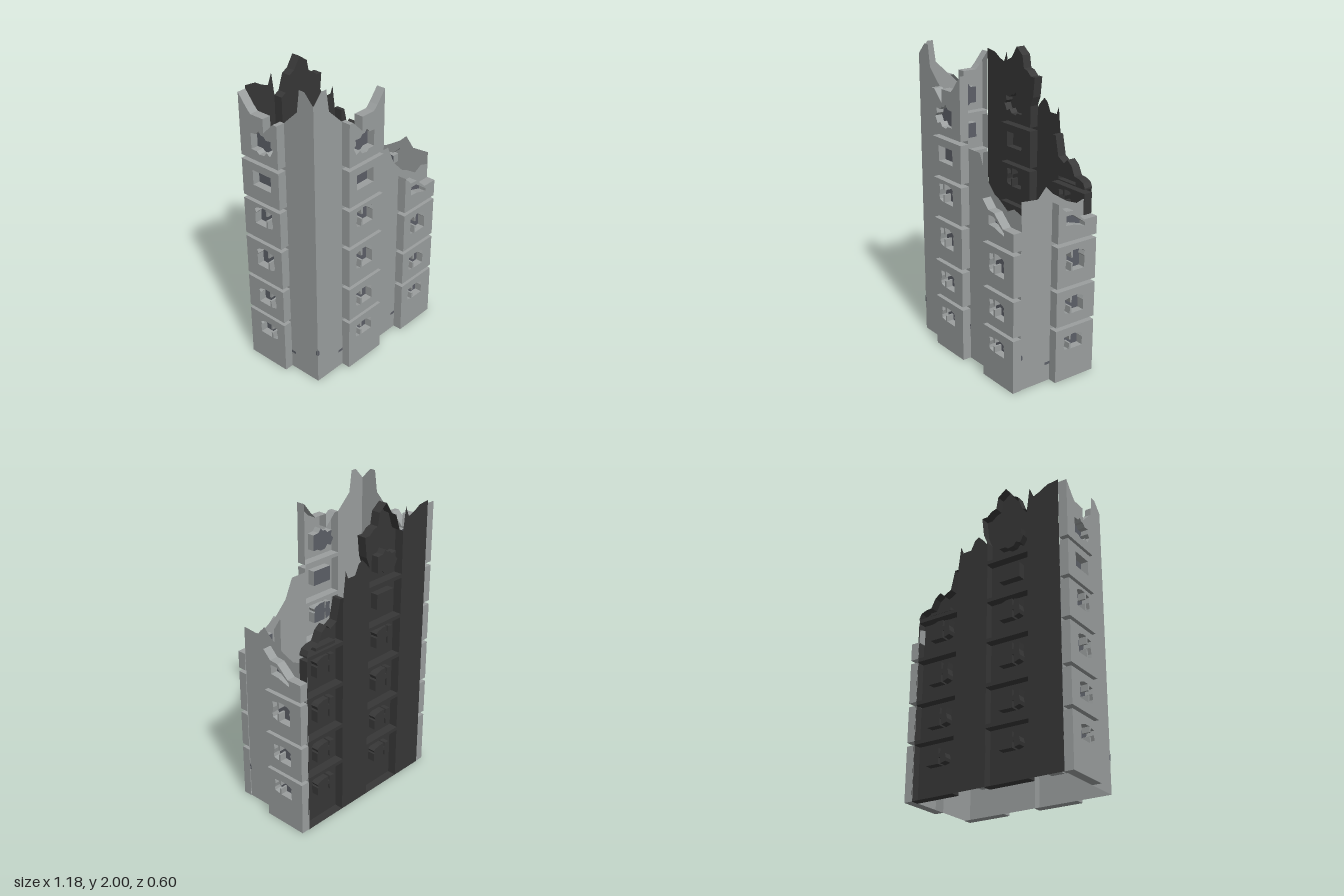
import * as THREE from 'three';
import { mergeGeometries } from 'three/addons/utils/BufferGeometryUtils.js';

const mat = (name, color) => {
  const m = new THREE.MeshStandardMaterial({ color, side: THREE.DoubleSide });
  m.name = name;
  return m;
};

const W = 0.53;        // width of one wall section
const PANEL_U = 0.23;  // where the projecting panel column starts
const PANEL_END = 0.535;
const DEPTH = 0.06;    // how far panels project
const RECESS = 0.05;   // how deep windows sit in a panel

// Bottom and top of each storey panel
const FLOORS = [[0, 0.355], [0.38, 0.615], [0.64, 0.91], [0.935, 1.185], [1.21, 1.455], [1.48, 1.88]];

// Pair of broken openings joined by a narrow slit, as one outline
const twin = (y0, y1) => {
  const h = y1 - y0, y = t => y0 + h * t;
  return [
    [0.297, y(0.1)], [0.335, y(0)], [0.338, y(0.4)], [0.35, y(0.4)], [0.35, y(0)], [0.443, y(0)],
    [0.443, y(0.55)], [0.435, y(0.62)], [0.445, y(0.8)], [0.43, y(0.9)], [0.39, y(1)], [0.35, y(1)],
    [0.35, y(0.65)], [0.338, y(0.65)], [0.333, y(0.95)], [0.295, y(0.9)], [0.301, y(0.6)], [0.293, y(0.3)],
  ];
};
const box = (u0, y0, u1, y1) => [[u0, y0], [u1, y0], [u1, y1], [u0, y1]];

const BLAST = [
  [0.29, 1.545], [0.32, 1.56], [0.34, 1.535], [0.38, 1.53], [0.40, 1.545], [0.445, 1.545], [0.445, 1.65],
  [0.40, 1.655], [0.38, 1.68], [0.36, 1.66], [0.34, 1.66], [0.32, 1.64], [0.28, 1.645], [0.285, 1.61], [0.265, 1.59],
];
const WINDOWS = [
  twin(0.205, 0.305), twin(0.45, 0.565), twin(0.735, 0.87), twin(1.04, 1.165),
  box(0.295, 1.305, 0.445, 1.405), BLAST,
];

const face = (pts, z) =>
  new THREE.ShapeGeometry(new THREE.Shape(pts.map(p => new THREE.Vector2(...p)))).translate(0, 0, z).toNonIndexed();

const faceWithHole = (pts, hole, z) => {
  const s = new THREE.Shape(pts.map(p => new THREE.Vector2(...p)));
  if (hole) s.holes.push(new THREE.Path(hole.map(p => new THREE.Vector2(...p))));
  return new THREE.ShapeGeometry(s).translate(0, 0, z).toNonIndexed();
};

// Closed band that follows an outline between two depths
const rim = (pts, z0, z1) => {
  const v = [], uv = [];
  pts.forEach(([ax, ay], i) => {
    const [bx, by] = pts[(i + 1) % pts.length];
    v.push(ax, ay, z0, bx, by, z0, bx, by, z1, ax, ay, z0, bx, by, z1, ax, ay, z1);
    uv.push(0, 0, 1, 0, 1, 1, 0, 0, 1, 1, 0, 1);
  });
  const g = new THREE.BufferGeometry();
  g.setAttribute('position', new THREE.Float32BufferAttribute(v, 3));
  g.setAttribute('uv', new THREE.Float32BufferAttribute(uv, 2));
  g.computeVertexNormals();
  return g;
};

// One wall section: plain strip, projecting panels and recessed windows
function wallSection(name, o) {
  const group = new THREE.Group();
  group.name = name;
  const flip = pts => (o.mirrored ? pts.map(([u, y]) => [PANEL_END - u, y]).reverse() : pts);
  const add = (part, geo, material) => {
    const m = new THREE.Mesh(geo, material);
    m.name = part;
    group.add(m);
  };

  // Wall sheet with a torn top, and the strips in the gaps between storeys
  const sheets = [face(flip([[PANEL_U, 0], [0, 0], ...o.column]), 0)];
  for (let i = 1; i < o.floors; i++) {
    sheets.push(face(flip(box(PANEL_U, FLOORS[i - 1][1], W, FLOORS[i][0])), 0));
  }
  if (o.backing) sheets.push(face(flip([...o.backing, ...[...o.crown].reverse()]), 0));
  add('wallSheet', mergeGeometries(sheets), o.wall);

  // Open-backed panels, the last one broken along its top
  for (let i = 0; i < o.floors; i++) {
    const [y0, y1] = FLOORS[i];
    const last = i === o.floors - 1;
    const outline = flip(last
      ? [[PANEL_END, y0], [PANEL_U, y0], ...o.crown]
      : box(PANEL_U, y0, PANEL_END, y1));
    const hole = flip(last && o.lastWindow ? o.lastWindow : WINDOWS[i]);
    add('panel' + (i + 1), mergeGeometries([
      faceWithHole(outline, hole, DEPTH),
      rim(outline, 0, DEPTH),
      rim(hole, DEPTH - RECESS, DEPTH),
    ]), o.wall);
    add('window' + (i + 1), face(hole, DEPTH - RECESS), o.pane);
  }

  // Small vent and chipped corner near the ground
  add('vent', face(flip(box(0.19, 0.115, 0.228, 0.133)), 0.003), o.pane);
  add('chip', face(flip([[0, 0.205], [0.014, 0.21], [0.012, 0.235], [0, 0.25]]), 0.003), o.pane);
  return group;
}

export function createModel() {
  const concrete = mat('paleConcrete', 0x9a9e9e);
  const charred = mat('charredConcrete', 0x373737);
  const glass = mat('windowGrey', 0x5c5f67);

  const light = { wall: concrete, pane: glass };
  const dark = { wall: charred, pane: charred };

  // Tall broken section
  const tall = {
    floors: 6,
    column: [[0, 1.93], [0.065, 2], [0.105, 2], [0.125, 1.86], [PANEL_U, 1.76]],
    crown: [[PANEL_U, 1.76], [0.26, 1.76], [0.34, 1.68], [0.34, 1.77], [0.44, 1.77], [0.47, 1.8], [PANEL_END, 1.88]],
  };
  // Low broken section
  const low = {
    floors: 4,
    crown: [[PANEL_U, 1.185], [0.285, 1.13], [0.345, 1.125], [0.43, 1.05], [PANEL_END, 1.05]],
    lastWindow: [[0.29, 1.04], [0.35, 1.035], [0.44, 1.008], [0.44, 1.03], [0.34, 1.1], [0.29, 1.1]],
  };

  const model = new THREE.Group();
  model.name = 'ruinedBuilding';
  const place = (section, x, z, turn = 0) => {
    section.position.set(x, 0, z);
    section.rotation.y = turn;
    model.add(section);
  };

  // Front
  place(wallSection('frontRightWall', { ...light, ...tall }), -W, 0.24);
  place(wallSection('frontLeftWall', {
    ...light, ...low,
    column: [[0, 1.43], [0.12, 1.43], [0.18, 1.3], [PANEL_U, 1.25]],
    backing: [[PANEL_U, 1.25], [0.27, 1.21], [0.31, 1.195], [0.4, 1.14], [0.46, 1.17], [W, 1.15]],
  }), 0, 0.24);

  // Sides
  place(wallSection('leftSideWall', {
    ...light, ...low,
    column: [[0, 1.235], [0.12, 1.225], [0.18, 1.29], [PANEL_U, 1.24]],
    backing: [[PANEL_U, 1.24], [0.34, 1.17], [0.42, 1.14], [0.47, 1.155], [W, 1.14]],
  }), W, 0.24, Math.PI / 2);
  place(wallSection('rightSideWall', { ...light, ...tall, mirrored: true }), -W, -0.295, -Math.PI / 2);

  // Back, with its panels turned to the inside
  place(wallSection('backRightWall', {
    ...dark,
    floors: 6,
    column: [[0, 1.9], [0.08, 1.89], [0.13, 1.86], [0.18, 1.84], [0.21, 1.91], [PANEL_U, 1.76]],
    crown: [[PANEL_U, 1.76], [0.265, 1.78], [0.3, 1.88], [0.34, 1.9], [0.39, 1.975], [0.45, 1.93], [0.465, 1.85],
      [0.5, 1.84], [0.535, 1.81], [0.575, 1.81], [0.56, 1.68], [PANEL_END, 1.62]],
  }), -W, -0.297);
  place(wallSection('backLeftWall', {
    ...dark,
    floors: 5,
    column: [[0, 1.6], [0.03, 1.64], [0.07, 1.68], [0.1, 1.66], [0.13, 1.6], [0.19, 1.6], [0.21, 1.65], [PANEL_U, 1.49]],
    crown: [[PANEL_U, 1.49], [0.255, 1.49], [0.285, 1.36], [0.34, 1.33], [0.37, 1.36], [0.41, 1.33], [0.44, 1.27],
      [0.485, 1.265], [0.52, 1.25], [PANEL_END, 1.22]],
    lastWindow: box(0.29, 1.218, 0.45, 1.238),
  }), 0, -0.297);

  return model;
}
